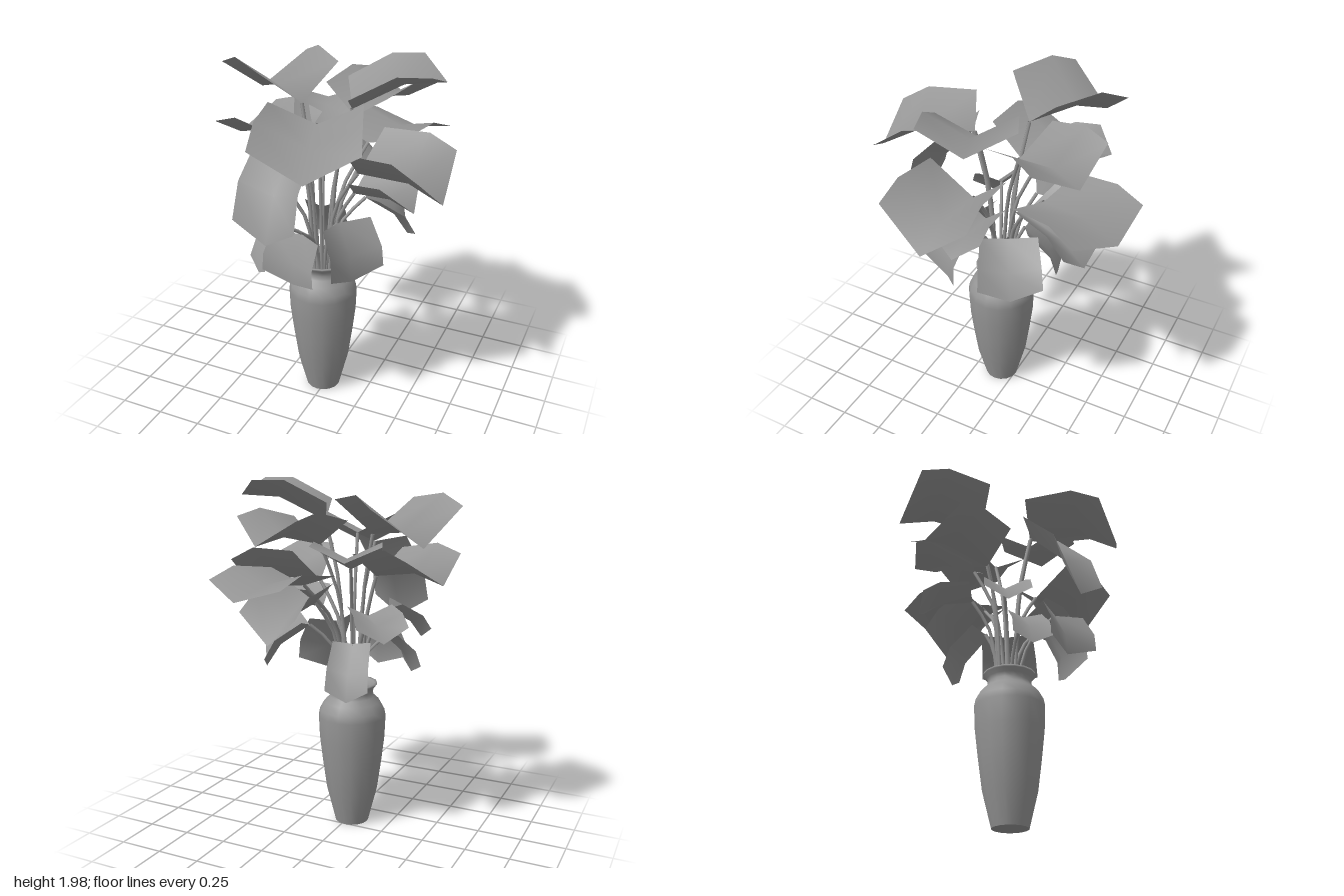
import * as THREE from 'three';

const CX = -0.02, CZ = 0.09; // vase axis
const mat = new THREE.MeshStandardMaterial({ color: 0x959595, side: THREE.DoubleSide });

// base x, y, z,  tip x, y, z,  half width, fold (wing rise per half width)
const LEAVES = [
  // large upper leaves
  [0.01, 1.68, 0.22, 0.16, 1.56, 0.70, 0.25, 0.5],
  [0.16, 1.75, 0.12, 0.59, 1.89, -0.06, 0.22, 0.5],
  [-0.18, 1.70, 0.00, -0.57, 1.67, -0.28, 0.25, 0.75],
  [0.09, 1.64, -0.08, 0.25, 1.66, -0.48, 0.23, 0.6],
  [0.11, 1.44, -0.23, 0.25, 1.41, -0.69, 0.25, 0.3],
  [-0.18, 1.47, 0.05, -0.60, 1.46, -0.06, 0.23, 0.6],
  [0.20, 1.41, 0.13, 0.67, 1.33, 0.16, 0.24, 0.8],
  [-0.07, 1.63, 0.28, -0.10, 1.15, 0.60, 0.17, 0.45],
  // middle leaves
  [0.10, 1.33, -0.12, 0.18, 1.16, -0.50, 0.18, 0.8],
  [-0.10, 1.52, -0.10, -0.23, 1.60, -0.45, 0.17, 0.5],
  [0.16, 1.27, 0.08, 0.50, 1.22, 0.09, 0.14, 0.8],
  // small drooping leaves
  [0.00, 1.13, 0.38, -0.02, 0.87, 0.46, 0.16, 0.4],
  [0.14, 1.16, 0.23, 0.24, 0.86, 0.29, 0.16, 0.45],
  [0.17, 1.19, -0.06, 0.38, 0.96, -0.18, 0.16, 0.4],
  [-0.08, 1.10, -0.03, -0.13, 0.82, -0.22, 0.11, 0.4],
  [-0.15, 1.09, 0.27, -0.26, 0.86, 0.40, 0.10, 0.35],
  [-0.20, 1.27, 0.18, -0.35, 1.10, 0.31, 0.12, 0.5],
  [-0.18, 1.27, -0.05, -0.37, 1.18, -0.28, 0.13, 0.5],
];

// Leaf: a 3 x 3 sheet folded along its spine, arched lengthwise, with a pointed tip
function leafGeometry(base, tip, half, fold) {
  const spine = tip.clone().sub(base), len = spine.length();
  const dir = spine.clone().normalize();
  const side = new THREE.Vector3().crossVectors(dir, new THREE.Vector3(0, 1, 0)).normalize();
  const up = new THREE.Vector3().crossVectors(side, dir);
  const rows = [ // along, width, arch, wing shift along the spine
    [0, 0.95, 0, 0.02],
    [0.58, 1.02, 0.1, -0.05],
    [1, 1.06, 0, -0.14],
  ];
  const pos = [], index = [];
  for (const [t, w, arch, shift] of rows) {
    for (const s of [-1, 0, 1]) {
      const a = Math.abs(s);
      const p = base.clone()
        .addScaledVector(dir, len * (t + a * shift))
        .addScaledVector(side, s * half * w)
        .addScaledVector(up, arch * len + a * half * fold);
      pos.push(p.x, p.y, p.z);
    }
  }
  for (let r = 0; r < 2; r++) {
    for (let c = 0; c < 2; c++) {
      const i = r * 3 + c;
      index.push(i, i + 1, i + 3, i + 1, i + 4, i + 3);
    }
  }
  const g = new THREE.BufferGeometry();
  g.setAttribute('position', new THREE.Float32BufferAttribute(pos, 3));
  g.setIndex(index);
  g.computeVertexNormals();
  return g;
}

// Stem: rises steeply from inside the vase, then bends outward to the leaf base
function stemGeometry(base, i) {
  const a = Math.atan2(base.z - CZ, base.x - CX), r = 0.03 + 0.02 * (i % 3);
  const foot = new THREE.Vector3(CX + Math.cos(a) * r * 0.7, 0.55, CZ + Math.sin(a) * r * 0.7);
  const neck = new THREE.Vector3(CX + Math.cos(a) * r, 0.86, CZ + Math.sin(a) * r);
  const bend = neck.clone().lerp(base, 0.33);
  bend.y = THREE.MathUtils.lerp(neck.y, base.y, 0.62);
  const curve = new THREE.CatmullRomCurve3([foot, neck, bend, base]);
  return new THREE.TubeGeometry(curve, 8, 0.01, 6, false);
}

function addMesh(parent, name, geometry) {
  const m = new THREE.Mesh(geometry, mat);
  m.name = name;
  parent.add(m);
  return m;
}

export function createModel() {
  const model = new THREE.Group();
  model.name = 'pottedPlant';

  // Vase: hollow turned body with a flared lip, and a flat foot
  const vase = new THREE.Group();
  vase.name = 'vase';
  vase.position.set(CX, 0, CZ);
  const profile = [
    [0.098, 0], [0.148, 0.2], [0.172, 0.38], [0.188, 0.52], [0.193, 0.65], [0.185, 0.69],
    [0.16, 0.735], [0.127, 0.765], [0.118, 0.79], [0.124, 0.815], [0.143, 0.835], [0.143, 0.846],
    [0.128, 0.843], [0.108, 0.815], [0.102, 0.785], [0.14, 0.72], [0.165, 0.64], [0.15, 0.5], [0, 0.48],
  ].map(([x, y]) => new THREE.Vector2(x, y));
  addMesh(vase, 'vaseBody', new THREE.LatheGeometry(profile, 16));
  addMesh(vase, 'vaseFoot', new THREE.CircleGeometry(0.098, 16)).rotation.x = Math.PI / 2;
  model.add(vase);

  // Foliage: one stem and one folded leaf per entry
  const foliage = new THREE.Group();
  foliage.name = 'foliage';
  LEAVES.forEach(([bx, by, bz, tx, ty, tz, half, fold], i) => {
    const base = new THREE.Vector3(bx, by, bz), tip = new THREE.Vector3(tx, ty, tz);
    addMesh(foliage, 'stem', stemGeometry(base, i));
    addMesh(foliage, 'leaf', leafGeometry(base, tip, half, fold));
  });
  model.add(foliage);
  return model;
}
